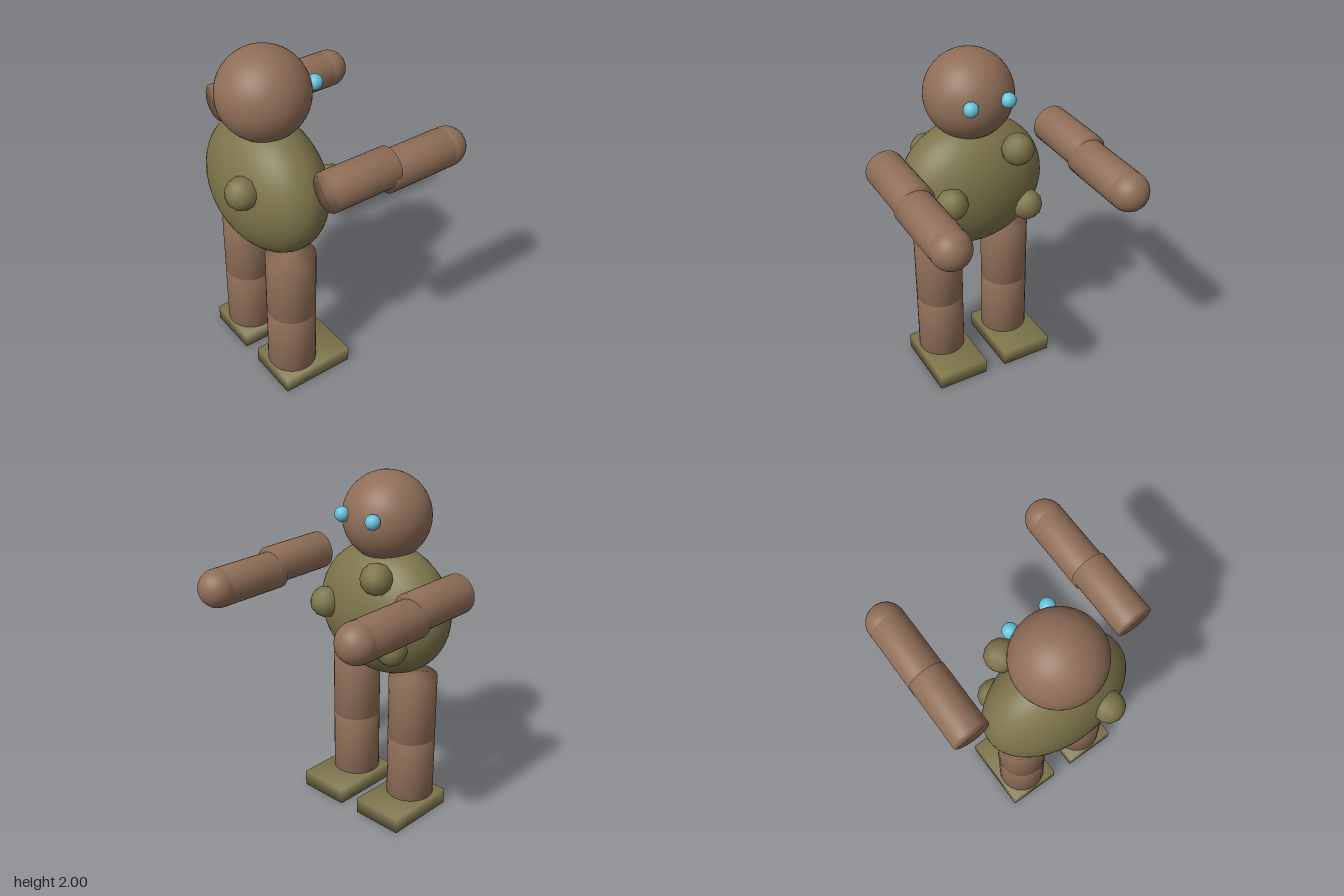
import * as THREE from 'three';
import { mergeVertices } from 'three/addons/utils/BufferGeometryUtils.js';

const skin = new THREE.MeshStandardMaterial({ name: 'brownSkin', color: 0x8f6e57 });
const olive = new THREE.MeshStandardMaterial({ name: 'oliveHide', color: 0x7c744a });
const blue = new THREE.MeshStandardMaterial({ name: 'eyeBlue', color: 0x66c3da });

// Weld shared corners so shading runs smoothly over every edge
function weld(geometry) {
  geometry.deleteAttribute('normal');
  geometry.deleteAttribute('uv');
  const welded = mergeVertices(geometry, 1e-4);
  welded.computeVertexNormals();
  return welded;
}

export function createModel() {
  const model = new THREE.Group();
  model.name = 'roundCreature';

  function add(name, geometry, material, x, y, z, parent = model) {
    const mesh = new THREE.Mesh(geometry, material);
    mesh.name = name;
    mesh.position.set(x, y, z);
    parent.add(mesh);
    return mesh;
  }
  const ball = (r, detail) => weld(new THREE.IcosahedronGeometry(r, detail));
  const limb = (r, length) => weld(new THREE.CylinderGeometry(r, r, length, 32));

  // Body and head
  const torso = ball(1, 7);
  torso.scale(0.428, 0.385, 0.272);
  add('torso', torso, olive, 0, 1.22, 0.272);
  add('head', ball(0.247, 7), skin, 0, 1.753, 0.277);

  // Warts scattered over the torso
  const wart = ball(0.091, 1);
  [[0.155, 1.333, 0.52], [-0.158, 1.493, 0.02], [0.235, 1.255, 0.035], [-0.24, 1.097, 0.055]]
    .forEach(([x, y, z], i) => add(`wart${i + 1}`, wart, olive, x, y, z));

  // Paired parts, mirrored across x
  const eye = ball(0.042, 3);
  const upperArm = limb(0.108, 0.387).rotateX(Math.PI / 2);
  const forearm = limb(0.108, 0.393).rotateX(Math.PI / 2);
  const hand = ball(0.108, 5);
  const thigh = limb(0.139, 0.39);
  const shin = limb(0.139, 0.38);
  const foot = weld(new THREE.BoxGeometry(0.31, 0.095, 0.437));

  for (const [side, s] of [['left', 1], ['right', -1]]) {
    add(`${side}Eye`, eye, blue, s * 0.11, 1.787, 0.04);

    const arm = new THREE.Group();
    arm.name = `${side}Arm`;
    add('upperArm', upperArm, skin, s * 0.514, 1.441, 0.068, arm);
    add('forearm', forearm, skin, s * 0.514, 1.411, -0.288, arm);
    add('hand', hand, skin, s * 0.514, 1.411, -0.507, arm);

    const leg = new THREE.Group();
    leg.name = `${side}Leg`;
    add('thigh', thigh, skin, s * 0.219, 0.67, 0.275, leg);
    add('shin', shin, skin, s * 0.219, 0.285, 0.275, leg);
    add('foot', foot, olive, s * 0.219, 0.0475, 0.196, leg);
    model.add(arm, leg);
  }
  return model;
}
